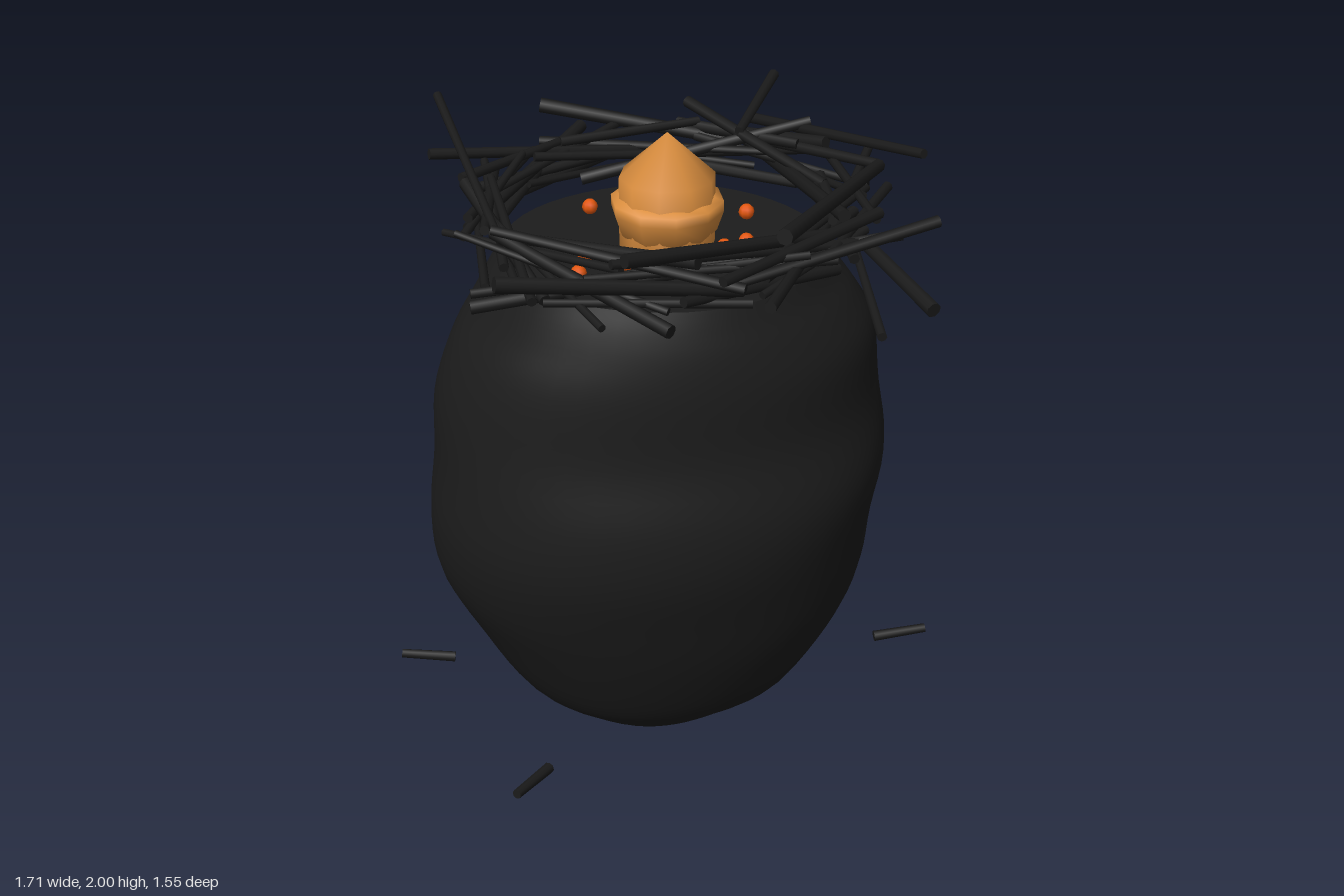
import * as THREE from 'three';

const paint = (name, hex) => {
  const m = new THREE.MeshStandardMaterial({ color: hex });
  m.name = name;
  return m;
};
const stone = paint('charred stone', 0x1c1c1c);
const wood = paint('charred wood', 0x1a1a1a);
const shell = paint('warm orange', 0xdd9040);
const glow = paint('ember orange', 0xe2560d);

// Small seeded random generator
function seeded(seed) {
  return () => {
    seed = (seed * 16807) % 2147483647;
    return seed / 2147483647;
  };
}

function add(parent, name, geometry, material, x = 0, y = 0, z = 0) {
  const mesh = new THREE.Mesh(geometry, material);
  mesh.name = name;
  mesh.position.set(x, y, z);
  parent.add(mesh);
  return mesh;
}

// Cylinder between two points
function stick(parent, name, a, b, radius) {
  const dir = b.clone().sub(a);
  const mesh = add(parent, name, new THREE.CylinderGeometry(radius * 0.85, radius, dir.length(), 8), wood);
  mesh.position.copy(a).add(b).multiplyScalar(0.5);
  mesh.quaternion.setFromUnitVectors(new THREE.Vector3(0, 1, 0), dir.normalize());
}

// Boulder cross-sections: y, left x, right x, back z, front z
const SECTIONS = [
  [0.0, -0.06, 0.01, -0.03, 0.03],
  [0.015, -0.16, 0.1, -0.11, 0.10],
  [0.05, -0.26, 0.19, -0.18, 0.17],
  [0.11, -0.36, 0.29, -0.25, 0.24],
  [0.2, -0.47, 0.42, -0.34, 0.325],
  [0.4, -0.60, 0.55, -0.475, 0.42],
  [0.6, -0.705, 0.62, -0.53, 0.50],
  [0.8, -0.725, 0.64, -0.545, 0.56],
  [1.0, -0.715, 0.66, -0.535, 0.57],
  [1.2, -0.70, 0.64, -0.52, 0.535],
  [1.4, -0.64, 0.615, -0.49, 0.525],
  [1.52, -0.575, 0.55, -0.48, 0.51],
  [1.6, -0.53, 0.49, -0.465, 0.49],
  [1.66, -0.49, 0.46, -0.44, 0.47],
];

function sectionPoint([y, x0, x1, z0, z1], t) {
  const lump = 1 + 0.012 * Math.sin(3 * t + 5 * y) * Math.sin(2 * t - 7 * y);
  return [(x0 + x1) / 2 + ((x1 - x0) / 2) * Math.cos(t) * lump, y,
    (z0 + z1) / 2 + ((z1 - z0) / 2) * Math.sin(t) * lump];
}

// Smooth in-between section at row position u
function sectionAt(u) {
  const last = SECTIONS.length - 1, k = Math.min(Math.floor(u), last - 1), f = u - k;
  const row = (i) => SECTIONS[Math.max(0, Math.min(last, i))];
  return row(k).map((p1, j) => {
    const p0 = row(k - 1)[j], p2 = row(k + 1)[j], p3 = row(k + 2)[j];
    return p1 + 0.5 * f * (p2 - p0 + f * (2 * p0 - 5 * p1 + 4 * p2 - p3 + f * (3 * (p1 - p2) + p3 - p0)));
  });
}

function makeSurface(pos, idx) {
  const g = new THREE.BufferGeometry();
  g.setAttribute('position', new THREE.Float32BufferAttribute(pos, 3));
  g.setIndex(idx);
  g.computeVertexNormals();
  return g;
}

function boulderGeometry() {
  const n = 48, rows = (SECTIONS.length - 1) * 4, pos = [], idx = [];
  for (let r = 0; r <= rows; r++)
    for (let i = 0; i < n; i++) pos.push(...sectionPoint(sectionAt(r / 4), (i / n) * Math.PI * 2));
  for (let r = 0; r < rows; r++)
    for (let i = 0; i < n; i++) {
      const a = r * n + i, b = r * n + ((i + 1) % n);
      idx.push(a, a + n, b, b, a + n, b + n);
    }
  pos.push(-0.025, 0, 0);
  for (let i = 0; i < n; i++) idx.push((rows + 1) * n, i, (i + 1) % n);
  return makeSurface(pos, idx);
}

function topGeometry() {
  const n = 48, rim = SECTIONS[SECTIONS.length - 1], pos = [0, rim[0], 0], idx = [];
  for (let i = 0; i < n; i++) {
    pos.push(...sectionPoint(rim, (i / n) * Math.PI * 2));
    idx.push(0, 1 + ((i + 1) % n), 1 + i);
  }
  return makeSurface(pos, idx);
}

// Main nest sticks: start x, y, z, end x, y, z
const STICKS = [
  [-0.62, 1.97, -0.48, -0.5, 1.8, 0.25], [-0.46, 1.74, -0.46, -0.54, 1.82, 0.2],
  [-0.57, 1.84, -0.1, -0.4, 1.7, 0.42], [0.36, 1.7, -0.68, 0.45, 1.84, 0.3],
  [0.68, 1.77, -0.36, 0.4, 1.7, 0.25], [0.35, 1.8, -0.6, 0.73, 1.92, 0.08],
  [-0.6, 1.68, 0.39, 0.6, 1.8, 0.36], [-0.55, 1.86, 0.64, 0.12, 1.75, 0.54],
  [-0.6, 1.74, 0.43, 0.45, 1.79, 0.4], [0.15, 1.8, 0.76, 0.47, 1.76, 0.1],
  [-0.22, 1.93, 0.7, 0.4, 1.82, 0.37], [0.2, 1.96, 0.68, 0.62, 1.86, 0],
  [0.5, 1.6, 0.58, 0.55, 1.7, -0.2], [0.68, 1.87, 0.44, 0.1, 1.77, 0.54],
  [-0.1, 1.72, 0.7, -0.52, 1.82, 0.22], [0.7, 1.57, 0.38, 0.48, 1.68, -0.3],
  [-0.35, 1.82, -0.32, 0.56, 1.72, -0.49], [-0.66, 1.84, -0.34, 0.1, 1.75, -0.5],
  [-0.17, 1.78, -0.66, -0.57, 1.7, -0.1], [0.17, 1.74, -0.7, 0.52, 1.84, -0.25],
  [-0.05, 1.82, -0.58, -0.52, 1.75, -0.2], [0.45, 1.9, -0.7, 0.28, 1.84, -0.38],
  [-0.2, 1.7, -0.42, 0.5, 1.86, -0.38], [-0.3, 1.87, -0.62, 0.3, 1.77, -0.48],
];

function buildNest() {
  const nest = new THREE.Group();
  nest.name = 'nest';
  const rand = seeded(71);
  STICKS.forEach((s, i) => stick(nest, 'nestStick', new THREE.Vector3(...s.slice(0, 3)),
    new THREE.Vector3(...s.slice(3)), 0.014 + (i % 4) * 0.003));
  // Fill the ring with tilted sticks laid along its tangent
  for (let i = 0; i < 38; i++) {
    const t = (i / 38) * Math.PI * 2, r = 0.45 + rand() * 0.11;
    const half = 0.2 + rand() * 0.18, d = t + Math.PI / 2 + (rand() - 0.5) * 0.6;
    const y = 1.69 + rand() * 0.15, tilt = (rand() - 0.5) * 0.22;
    const end = (side) => new THREE.Vector3(Math.cos(t) * r + side * Math.cos(d) * half, y + side * tilt / 2,
      Math.sin(t) * r + side * Math.sin(d) * half);
    stick(nest, 'nestStick', end(-1), end(1), 0.011 + rand() * 0.009);
  }
  return nest;
}

function buildEgg() {
  const egg = new THREE.Group();
  egg.name = 'egg';
  // Bowl-shaped lower half around a coarse, pointed dome
  const cup = [[0, 1.66], [0.1, 1.665], [0.145, 1.71], [0.165, 1.77], [0.165, 1.8], [0.135, 1.81]];
  add(egg, 'eggCup', new THREE.LatheGeometry(cup.map((p) => new THREE.Vector2(...p)), 10), shell);
  add(egg, 'eggDome', new THREE.SphereGeometry(0.162, 10, 3), shell, 0, 1.74, 0).scale.y = 1.605;
  add(egg, 'eggKnob', new THREE.SphereGeometry(0.04, 12, 8), shell, 0.09, 1.79, -0.12);
  return egg;
}

export function createModel() {
  const model = new THREE.Group();
  model.name = 'boulderNest';
  add(model, 'boulder', boulderGeometry(), stone);
  add(model, 'boulderTop', topGeometry(), stone);
  model.add(buildNest(), buildEgg());

  // Glowing embers around the egg
  const embers = [[-0.195, -0.25], [0.26, -0.14], [-0.25, 0.09], [-0.285, 0.215],
    [-0.15, 0.175], [0.15, 0.1], [0.22, 0.07]];
  for (const [x, z] of embers) add(model, 'ember', new THREE.SphereGeometry(0.024, 8, 6), glow, x, 1.68, z);

  // Loose twigs radiating around the base
  for (const degrees of [0, 130, 188, 245, 305]) {
    const t = THREE.MathUtils.degToRad(degrees);
    const at = (r, y) => new THREE.Vector3(Math.cos(t) * r, y, Math.sin(t) * r);
    stick(model, 'looseTwig', at(0.685, 0.205), at(0.855, 0.22), 0.017);
  }
  return model;
}
